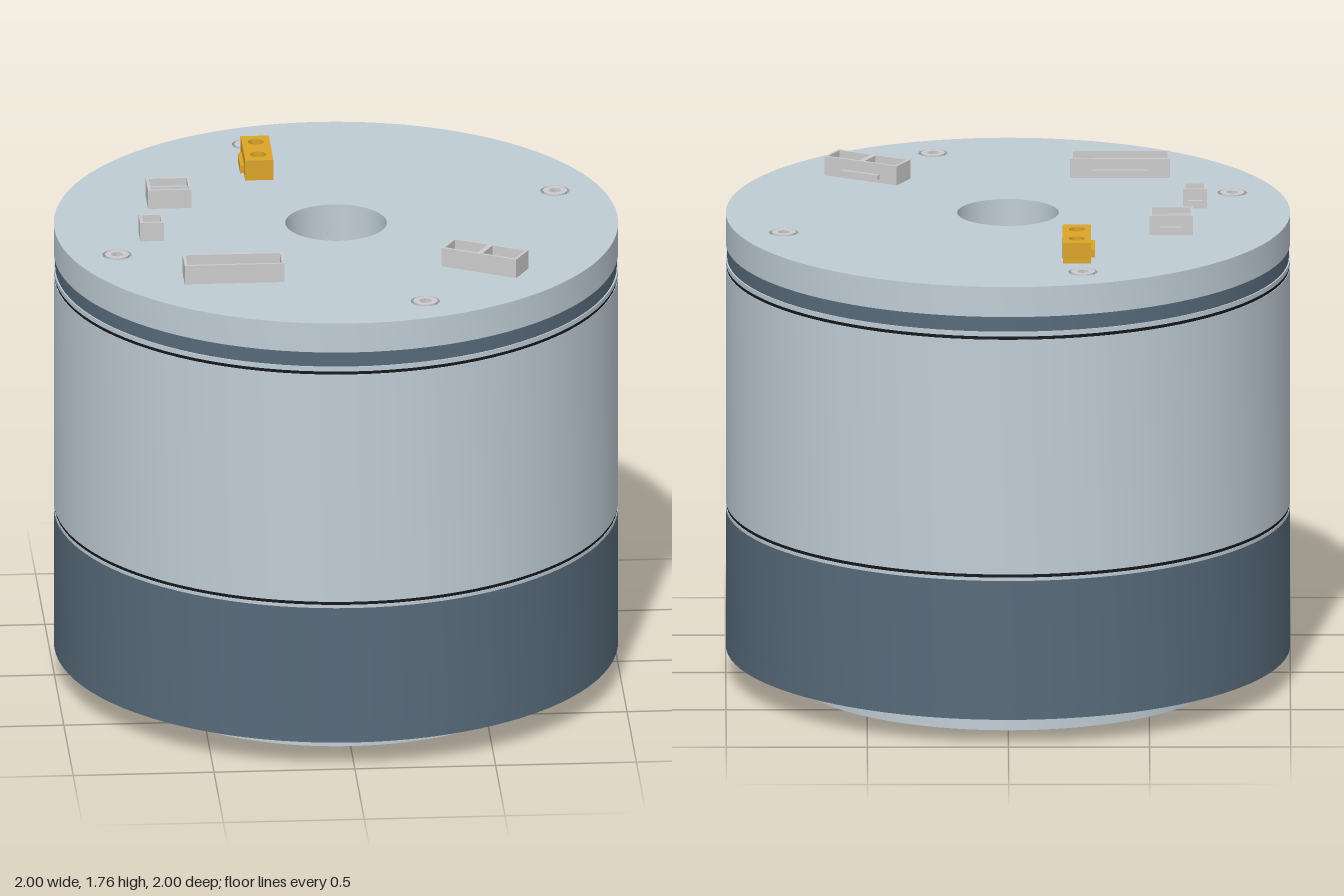
import * as THREE from 'three';
import { toCreasedNormals } from 'three/addons/utils/BufferGeometryUtils.js';

const TOP = 1.69;
const BORE = 0.18;
const material = (color) => new THREE.MeshStandardMaterial({ color });

export function createModel() {
  const root = new THREE.Group();
  const light = material(0xbfccd5), dark = material(0x576a7a), black = material(0x15181b);
  const grey = material(0xcccccc), steel = material(0x868c90), yellow = material(0xdca428);
  const green = material(0x1f8060);

  const add = (parent, name, geometry, mat, x = 0, y = 0, z = 0) => {
    const mesh = new THREE.Mesh(geometry, mat);
    mesh.name = name;
    mesh.position.set(x, y, z);
    parent.add(mesh);
    return mesh;
  };
  const group = (name, x = 0, y = 0, z = 0, parent = root) => {
    const g = new THREE.Group();
    g.name = name;
    g.position.set(x, y, z);
    parent.add(g);
    return g;
  };

  // Revolved part from a closed profile of [radius, height]
  const turned = (name, points, mat) => add(root, name, toCreasedNormals(
    new THREE.LatheGeometry(points.map(([r, y]) => new THREE.Vector2(r, y)), 96), 0.5), mat);

  // Extrude a shape upwards from y0 to y1
  const raise = (shape, y0, y1, segments = 12) => toCreasedNormals(
    new THREE.ExtrudeGeometry(shape, { depth: y1 - y0, bevelEnabled: false, curveSegments: segments })
      .rotateX(-Math.PI / 2).translate(0, y0, 0), 0.6);

  // Round plate with a bore and drilled holes { x, z, r }
  const plate = (name, radius, bore, holes, y0, y1, mat) => {
    const arc = (r, x = 0, z = 0, n = 96) => Array.from({ length: n }, (_, i) => new THREE.Vector2(
      x + r * Math.cos(i / n * Math.PI * 2), -z + r * Math.sin(i / n * Math.PI * 2)));
    const shape = new THREE.Shape(arc(radius));
    shape.holes.push(new THREE.Path(arc(bore, 0, 0, 64)));
    holes.forEach((h) => shape.holes.push(new THREE.Path(arc(h.r, h.x, h.z, 20))));
    return add(root, name, raise(shape, y0, y1), mat);
  };

  // Evenly spaced spots on a circle, angle measured from +z towards +x
  const ringOf = (count, radius, startDeg, r) => Array.from({ length: count }, (_, i) => {
    const a = THREE.MathUtils.degToRad(startDeg + i * 360 / count);
    return { x: radius * Math.sin(a), z: radius * Math.cos(a), r };
  });

  // Housing: dark lower ring, light drum with two seal grooves, dark band
  turned('lowerRing', [[0.74, 0.16], [1, 0.16], [1, 0.61], [BORE, 0.61]], dark);
  turned('drum', [[BORE, 0.61], [1, 0.61], [1, 0.622], [0.985, 0.622], [0.985, 0.634], [1, 0.634],
    [1, 1.496], [0.985, 1.496], [0.985, 1.508], [1, 1.508], [1, 1.525], [BORE, 1.525]], light);
  [0.628, 1.502].forEach((y) => add(root, 'seal',
    new THREE.CylinderGeometry(0.998, 0.998, 0.012, 96, 1, true), black, 0, y, 0));
  turned('upperBand', [[BORE, 1.525], [0.995, 1.525], [0.995, 1.58], [BORE, 1.58]], dark);
  turned('boreLining', [[BORE, 1.58], [BORE, 0.1]], light);

  // Recessed socket screw; dir is +1 facing up, -1 facing down
  const screw = (name, { x, z, r }, y, dir, headMat, socketMat) => {
    const g = group(name, x, y, z);
    g.scale.y = 1;
    if (dir < 0) g.rotation.x = Math.PI;
    const hex = new THREE.Shape();
    hex.absarc(0, 0, r * 0.82, 0, Math.PI * 2);
    const socket = Array.from({ length: 6 }, (_, i) =>
      new THREE.Vector2(r * 0.45 * Math.sin(i * Math.PI / 3), r * 0.45 * Math.cos(i * Math.PI / 3)));
    hex.holes.push(new THREE.Path(socket));
    add(g, 'head', raise(hex, -0.04, 0), headMat);
    add(g, 'socket', new THREE.CylinderGeometry(r * 0.5, r * 0.5, 0.01, 6), socketMat, 0, -0.03, 0);
    add(g, 'recess', new THREE.CylinderGeometry(r, r, 0.004, 20), black, 0, -0.036, 0);
  };

  // Top cap with four screws
  const capScrews = ringOf(4, 0.838, 18.4, 0.052);
  plate('topCap', 1, BORE, capScrews, 1.58, TOP, light);
  capScrews.forEach((s) => screw('capScrew', s, TOP + 0.002, 1, grey, green));

  // Underside of the lower ring: screws alternating with plain holes
  const rimScrews = ringOf(12, 0.935, 23.8, 0.045);
  const rimHoles = ringOf(12, 0.935, 8.8, 0.025);
  plate('lowerRingFace', 1, 0.74, [...rimScrews, ...rimHoles], 0.1, 0.16, dark);
  rimScrews.forEach((s) => screw('rimScrew', s, 0.1, -1, steel, grey));

  // Output flange with its screws and dowel pins
  const flangeScrews = ringOf(16, 0.625, 16.3, 0.05);
  const pins = ringOf(12, 0.69, 0, 0.027);
  // Dowels that would run into a screw are left out
  const clear = pins.filter((p) => flangeScrews.every(
    (s) => Math.hypot(p.x - s.x, p.z - s.z) > s.r + p.r + 0.002));
  plate('outputFlange', 0.775, BORE, [...flangeScrews, ...clear], 0, 0.1, light);
  flangeScrews.forEach((s) => screw('flangeScrew', s, 0, -1, steel, grey));
  clear.forEach((p) => add(root, 'dowelPin', new THREE.CylinderGeometry(p.r, p.r, 0.08, 16), grey, p.x, 0.05, p.z));
  turned('flangeBacking', [[BORE, 0.1], [0.76, 0.1], [0.76, 0.162], [BORE, 0.162]], dark);

  // Open connector shell with pins and a latch tab on its -z side
  const H = 0.07;
  const connector = (name, x, z, w, d, cols, rows, latch, cells = 1, angle = 0) => {
    const g = group(name, x, TOP, z);
    g.rotation.y = angle;
    const wall = 0.01;
    const rect = (Type, x0, x1, y0, y1) => new Type([[x0, y0], [x1, y0], [x1, y1], [x0, y1]]
      .map(([a, b]) => new THREE.Vector2(a, b)));
    const shell = rect(THREE.Shape, -w / 2, w / 2, -d / 2, d / 2);
    const cw = w / cells;
    for (let i = 0; i < cells; i++) {
      const x0 = -w / 2 + i * cw;
      shell.holes.push(rect(THREE.Path, x0 + wall, x0 + cw - wall, -d / 2 + wall, d / 2 - wall));
    }
    add(g, 'shell', raise(shell, 0, H), grey);
    add(g, 'floor', new THREE.BoxGeometry(w - wall, 0.012, d - wall), grey, 0, 0.006, 0);
    add(g, 'latch', new THREE.BoxGeometry(latch, 0.018, 0.014), grey, 0, 0.022, -d / 2 - 0.006);
    for (let i = 0; i < cols; i++) for (let j = 0; j < rows; j++) {
      add(g, 'pin', new THREE.BoxGeometry(0.008, 0.04, 0.008), steel,
        ((i + 0.5) / cols - 0.5) * (w - 2 * wall), 0.03, ((j + 0.5) / rows - 0.5) * (d - 2 * wall));
    }
    return g;
  };
  const can = connector('sixPinConnector', -0.578, -0.242, 0.155, 0.125, 3, 2, 0.08);
  add(can, 'divider', new THREE.BoxGeometry(0.14, 0.06, 0.01), grey, 0, 0.03, 0);
  connector('twoPinConnector', -0.662, 0.097, 0.085, 0.085, 2, 1, 0.05);
  connector('longConnector', -0.398, 0.517, 0.355, 0.115, 12, 1, 0.2);
  connector('doubleConnector', 0.497, 0.477, 0.29, 0.105, 8, 1, 0.15, 2, -THREE.MathUtils.degToRad(28));

  // Yellow power connector with two round contacts
  const power = group('powerConnector', -0.243, TOP, -0.56);
  const body = new THREE.Shape([[-0.05, -0.122], [0.05, -0.122], [0.05, 0.122], [-0.05, 0.122]]
    .map(([a, b]) => new THREE.Vector2(a, b)));
  [-0.062, 0.062].forEach((z) => {
    body.holes.push(new THREE.Path().absarc(0, z, 0.028, 0, Math.PI * 2));
    add(power, 'contact', new THREE.CylinderGeometry(0.018, 0.018, 0.055, 20), yellow, 0, 0.0275, z);
  });
  add(power, 'powerBody', raise(body, 0, 0.075), yellow);
  add(power, 'powerFloor', new THREE.BoxGeometry(0.09, 0.02, 0.23), yellow, 0, 0.01, 0);
  add(power, 'powerTab', new THREE.BoxGeometry(0.016, 0.03, 0.125), yellow, -0.056, 0.02, 0);

  return root;
}
